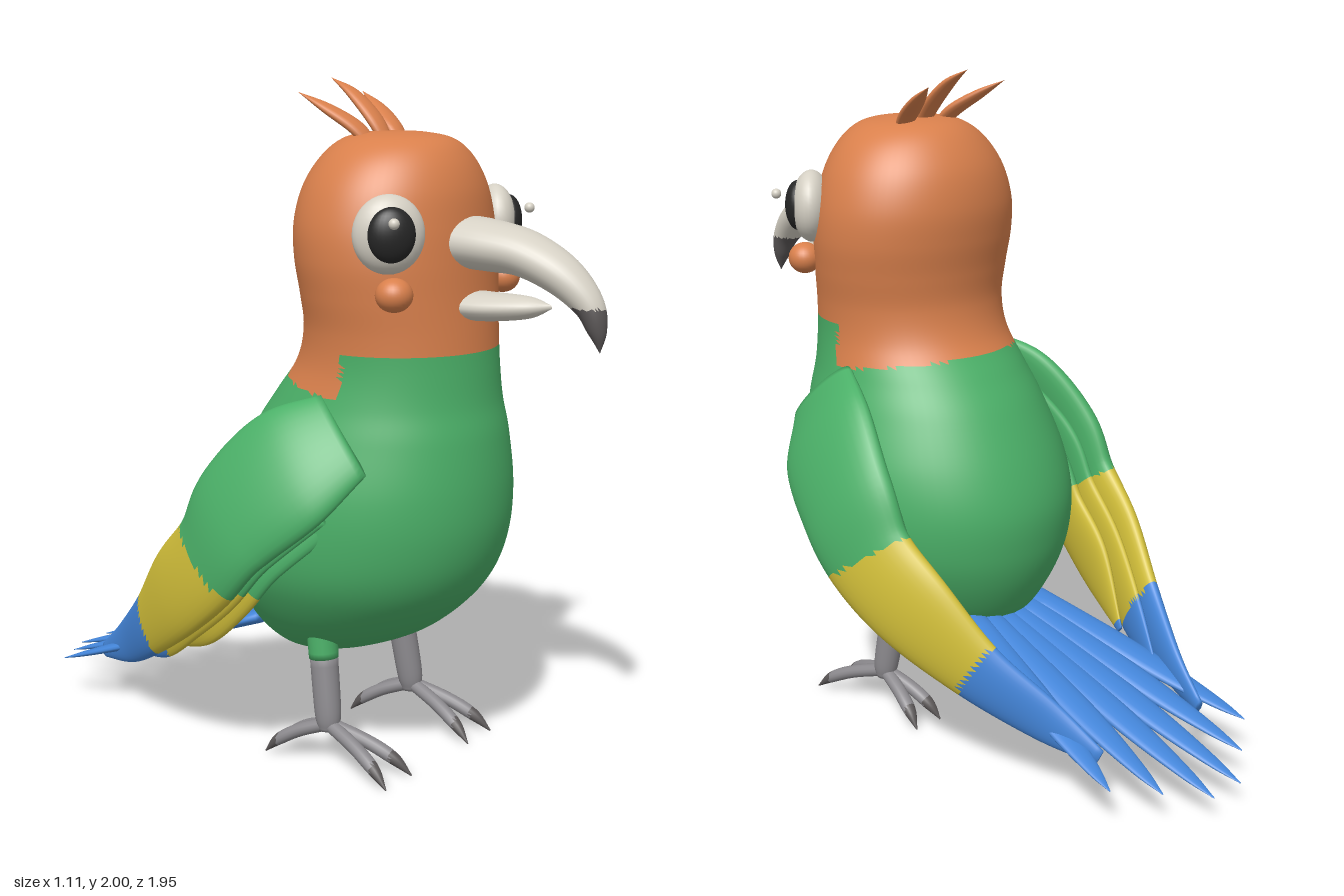
import * as THREE from 'three';

const mat = (name, color) => {
  const m = new THREE.MeshStandardMaterial({ color });
  m.name = name;
  return m;
};
const V = (x, y, z) => new THREE.Vector3(x, y, z);

// Smooth tube of elliptical sections. Each station is [x, y, z, a, b]:
// a is the half size along the hint direction, b the half size across it.
function loft(stations, hint, { sides = 20, steps = 6, axis = null } = {}) {
  const path = new THREE.CatmullRomCurve3(stations.map(s => V(s[0], s[1], s[2])), false, 'catmullrom', 0.5);
  const size = new THREE.CatmullRomCurve3(stations.map(s => V(s[3], s[4], 0)), false, 'catmullrom', 0.5);
  const n = (stations.length - 1) * steps;
  const pos = [], index = [];
  for (let i = -1; i <= n + 1; i++) {
    const t = Math.min(Math.max(i / n, 0), 1);
    const k = i < 0 || i > n ? 0 : 1; // zero-size rings close the ends
    const c = path.getPoint(t), r = size.getPoint(t);
    const tan = axis || path.getTangent(t);
    const side = hint.clone().addScaledVector(tan, -hint.dot(tan)).normalize();
    const up = tan.clone().cross(side);
    for (let j = 0; j < sides; j++) {
      const q = (j / sides) * Math.PI * 2;
      const p = c.clone()
        .addScaledVector(side, k * Math.max(r.x, 0) * Math.cos(q))
        .addScaledVector(up, k * Math.max(r.y, 0) * Math.sin(q));
      pos.push(p.x, p.y, p.z);
    }
  }
  for (let i = 0; i < n + 2; i++) {
    for (let j = 0; j < sides; j++) {
      const a = i * sides + j, b = i * sides + (j + 1) % sides;
      index.push(a, b, a + sides, b, b + sides, a + sides);
    }
  }
  const g = new THREE.BufferGeometry();
  g.setAttribute('position', new THREE.Float32BufferAttribute(pos, 3));
  g.setIndex(index);
  g.computeVertexNormals();
  return g;
}

// Sorts faces into material groups by a rule on the face centre
function paint(geo, count, rule) {
  const p = geo.attributes.position, idx = geo.index.array;
  const lists = Array.from({ length: count }, () => []);
  for (let i = 0; i < idx.length; i += 3) {
    const c = V(0, 0, 0);
    for (let k = 0; k < 3; k++) c.add(V(p.getX(idx[i + k]), p.getY(idx[i + k]), p.getZ(idx[i + k])));
    c.divideScalar(3);
    lists[rule(c)].push(idx[i], idx[i + 1], idx[i + 2]);
  }
  geo.setIndex(lists.flat());
  let start = 0;
  lists.forEach((l, m) => { geo.addGroup(start, l.length, m); start += l.length; });
  return geo;
}

export function createModel() {
  const root = new THREE.Group();
  root.name = 'bird';
  const green = mat('green feathers', 0x4bb068), orange = mat('orange feathers', 0xd9804c);
  const yellow = mat('yellow feathers', 0xd3c03a), blue = mat('blue feathers', 0x4486da);
  const bone = mat('bone white', 0xd6d1c5), dark = mat('dark horn', 0x5c5858);
  const grey = mat('grey skin', 0x8c8a8e), black = mat('black', 0x262626);
  const add = (name, geo, material, parent = root) => {
    const m = new THREE.Mesh(geo, material);
    m.name = name;
    parent.add(m);
    return m;
  };
  const X = V(1, 0, 0);

  // Body and head: height, half width, front z, back z
  const body = [
    [0.29, 0, 0.04, 0.04], [0.3, 0.1, 0.15, -0.06], [0.33, 0.17, 0.26, -0.11], [0.4, 0.26, 0.41, -0.165],
    [0.5, 0.335, 0.53, -0.215], [0.6, 0.38, 0.6, -0.24], [0.72, 0.395, 0.637, -0.243],
    [0.85, 0.385, 0.645, -0.205], [1.0, 0.345, 0.632, -0.13], [1.1, 0.315, 0.612, -0.06],
    [1.2, 0.296, 0.6, 0.015], [1.3, 0.297, 0.59, 0.045], [1.4, 0.313, 0.58, 0.04],
    [1.5, 0.325, 0.572, 0.025], [1.6, 0.318, 0.562, 0.02], [1.7, 0.285, 0.545, 0.04],
    [1.78, 0.23, 0.51, 0.085], [1.83, 0.16, 0.46, 0.14], [1.849, 0.08, 0.38, 0.21], [1.852, 0, 0.29, 0.29],
  ].map(([y, w, f, b]) => [0, y, (f + b) / 2, w, (f - b) / 2]);
  add('bodyAndHead', paint(loft(body, X, { sides: 72, steps: 8, axis: V(0, 1, 0) }), 2,
    c => (c.y > (c.z > 0.32 ? 1.25 : 1.12 + (0.31 - c.z) * 0.13) ? 1 : 0)), [green, orange]);

  // Beak
  add('upperBeak', paint(loft([
    [0, 1.555, 0.5, 0.115, 0.075], [0, 1.547, 0.62, 0.108, 0.071], [0, 1.53, 0.73, 0.09, 0.063],
    [0, 1.48, 0.84, 0.07, 0.055], [0, 1.41, 0.92, 0.045, 0.042], [0, 1.34, 0.95, 0.028, 0.026],
    [0, 1.28, 0.96, 0, 0],
  ], X, { sides: 32, steps: 8 }), 2, c => (c.y < 1.4 && c.z > 0.86 ? 1 : 0)), [bone, dark]);
  add('lowerBeak', loft([
    [0, 1.378, 0.5, 0.09, 0.042], [0, 1.378, 0.62, 0.085, 0.04], [0, 1.385, 0.74, 0.05, 0.03],
    [0, 1.392, 0.81, 0, 0.005],
  ], X), bone);

  // Crest: three backswept tufts
  for (const s of [-1, 0, 1]) {
    const drop = s ? 0.04 : 0;
    add('crestFeather', loft([
      [s * 0.075, 1.8, 0.27, 0.02, 0.015], [s * 0.09, 1.88 - drop / 2, 0.22, 0.036, 0.017],
      [s * 0.125, 1.955 - drop, 0.14, 0.028, 0.013], [s * 0.155, 2 - drop, 0.06, 0, 0],
    ], X, { sides: 14 }), orange);
  }

  // Tail fan
  const tail = [[0.06, 0.08, -0.97], [0.18, 0.105, -0.885], [0.305, 0.13, -0.8]];
  for (const s of [-1, 1]) {
    tail.forEach(([x, y, z], i) => {
      const base = V(s * (0.025 + i * 0.055), 0.36 + i * 0.006, -0.1), tip = V(s * x, y, z);
      const at = (t, a, b) => [...base.clone().lerp(tip, t).toArray(), a, b];
      add('tailFeather', loft([at(0, 0.045, 0.02), at(0.4, 0.052, 0.02), at(0.65, 0.047, 0.016),
        at(0.88, 0.025, 0.009), at(1, 0.002, 0.001)], X, { sides: 14 }), blue);
    });
  }

  // Wing stations: outer x, y, z, half width, half thickness
  const wing = [
    [0.365, 1.035, 0.355, 0.14, 0.035], [0.475, 0.935, 0.23, 0.19, 0.055], [0.535, 0.79, 0.085, 0.18, 0.06],
    [0.535, 0.645, -0.02, 0.155, 0.055], [0.49, 0.51, -0.175, 0.14, 0.045], [0.405, 0.36, -0.35, 0.1, 0.035],
    [0.305, 0.24, -0.53, 0.07, 0.025], [0.235, 0.16, -0.69, 0.025, 0.012],
  ];
  const wingColour = c => (c.y + 0.71 * c.z > 0.63 ? 0 : c.y + 1.6 * c.z > -0.2 ? 1 : 2);

  for (const s of [-1, 1]) {
    const label = s > 0 ? 'left' : 'right';
    const wingGroup = new THREE.Group();
    wingGroup.name = label + 'Wing';
    root.add(wingGroup);
    const hint = V(-0.25 * s, 0.75, -0.6);
    // Outer blade with two shorter layers tucked beneath it
    for (let k = 0; k < 3; k++) {
      const layer = wing.slice(k ? 1 : 0, wing.length - k).map(([x, y, z, a, b], i, all) => {
        const taper = k && i === all.length - 1 ? 0.15 : k ? 0.86 - 0.06 * k : 1;
        return [s * (x - b - 0.045 * k), y - 0.04 * k, z + 0.01 * k, a * taper, b * (k ? 0.6 * Math.min(1, taper * 2) : 1)];
      });
      add(k ? 'underFeathers' : 'wingBlade', paint(loft(layer, hint, { sides: 32, steps: 10 }), 3, wingColour),
        [green, yellow, blue], wingGroup);
    }

    // Eye, pupil, glint and cheek
    const disc = (name, x, y, z, r, h, thick, m) => {
      const e = add(name, new THREE.SphereGeometry(1, 28, 20), m);
      e.position.set(s * x, y, z);
      e.scale.set(r, h, thick);
      e.rotation.y = s * Math.PI / 4;
    };
    disc(label + 'Eye', 0.268, 1.588, 0.458, 0.1, 0.108, 0.06, bone);
    disc(label + 'Pupil', 0.297, 1.59, 0.488, 0.066, 0.075, 0.038, black);
    disc(label + 'Glint', 0.345, 1.625, 0.53, 0.015, 0.015, 0.015, bone);
    disc(label + 'Cheek', 0.278, 1.427, 0.485, 0.052, 0.047, 0.05, orange);

    // Leg and foot
    add(label + 'Thigh', loft([[s * 0.198, 0.41, 0.18, 0.046, 0.046], [s * 0.2, 0.32, 0.19, 0.044, 0.044]], X), green);
    add(label + 'Shank', loft([[s * 0.2, 0.325, 0.19, 0.042, 0.042], [s * 0.213, 0.16, 0.215, 0.038, 0.04],
      [s * 0.216, 0.105, 0.22, 0.028, 0.03]], X), grey);
    for (const [dx, z] of [[-0.065, 0.475], [0.065, 0.475], [-0.05, 0.02], [0.05, 0.02]]) {
      const lerp = t => 0.22 + (z - 0.22) * t;
      add('toe', paint(loft([
        [s * 0.216, 0.125, 0.22, 0.022, 0.02], [s * (0.216 + dx * 0.45), 0.09, lerp(0.45), 0.022, 0.02],
        [s * (0.216 + dx * 0.78), 0.05, lerp(0.78), 0.02, 0.018], [s * (0.216 + dx), 0.005, z, 0.002, 0.002],
      ], X, { sides: 14 }), 2, c => (Math.abs(c.z - 0.22) > Math.abs(z - 0.22) * 0.78 ? 1 : 0)), [grey, dark]);
    }
  }
  return root;
}
